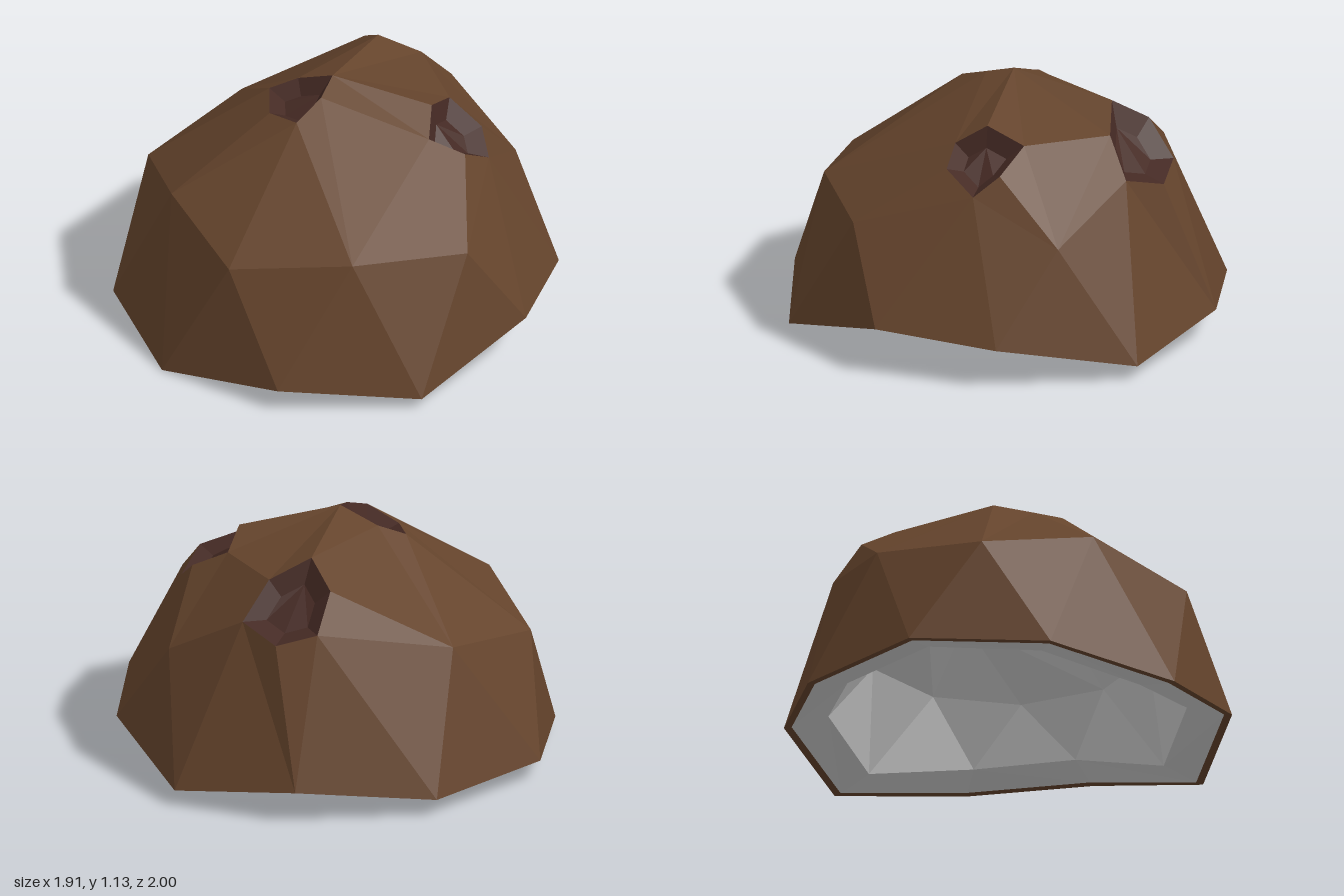
import * as THREE from 'three';

const P = (list) => list.map((p) => new THREE.Vector3(...p));
const UP = new THREE.Vector3(0, 1, 0);
const DOWN = new THREE.Vector3(0, -1, 0);

// Add a triangle, turned so that it faces the given direction
function tri(out, a, b, c, facing) {
  const n = b.clone().sub(a).cross(c.clone().sub(a));
  out.push(a, ...(n.dot(facing) < 0 ? [c, b] : [b, c]));
}

// Triangles from a hub point along a chain of points
function fan(out, hub, chain, facing) {
  for (let i = 0; i + 1 < chain.length; i++) tri(out, hub, chain[i], chain[i + 1], facing);
}

// Stitch two closed loops, each sorted by angle about the y axis
function zip(out, a, b, facing) {
  const angle = (loop, k) => {
    const p = loop[k % loop.length];
    let t = Math.atan2(p.z, p.x);
    if (t < -0.4) t += Math.PI * 2;
    return t + Math.PI * 2 * Math.floor(k / loop.length);
  };
  let i = 0, j = 0;
  while (i < a.length || j < b.length) {
    const p = a[i % a.length], q = b[j % b.length];
    if (j >= b.length || (i < a.length && angle(a, i + 1) <= angle(b, j + 1))) {
      tri(out, p, a[++i % a.length], q, facing);
    } else {
      tri(out, p, q, b[++j % b.length], facing);
    }
  }
}

function part(name, points, color, side = THREE.FrontSide) {
  const geometry = new THREE.BufferGeometry().setFromPoints(points);
  geometry.computeVertexNormals();
  const mesh = new THREE.Mesh(geometry, new THREE.MeshStandardMaterial({ color, flatShading: true, side }));
  mesh.name = name;
  return mesh;
}

const ringOf = (n, r, y) => Array.from({ length: n }, (_, k) => {
  const t = (k / n) * Math.PI * 2;
  return new THREE.Vector3(r * Math.cos(t), y, r * Math.sin(t));
});

export function createModel() {
  const group = new THREE.Group();
  group.name = 'halfNutShell';

  // Wavy broken edge
  const rim = P([
    [0.95, 0.07, -0.32], [0.89, 0.19, 0.31], [0.57, 0.22, 0.77], [0, 0.05, 1], [-0.6, 0.1, 0.8],
    [-0.96, 0, 0.3], [-0.96, 0.05, -0.33], [-0.6, 0.09, -0.84], [0.01, 0.08, -1], [0.6, 0.15, -0.78],
  ]);
  // Corners of the three dents
  const topEye = P([
    [-0.04, 1.13, -0.04], [-0.13, 1.09, 0.06], [-0.27, 1.03, 0.13],
    [-0.33, 0.99, -0.05], [-0.27, 1.01, -0.22], [-0.15, 1.06, -0.18],
  ]);
  const frontEye = P([
    [0.34, 1.03, 0.19], [0.47, 0.97, 0.06], [0.57, 0.88, 0.2],
    [0.56, 0.79, 0.32], [0.42, 0.88, 0.4], [0.28, 0.94, 0.32],
  ]);
  const backEye = P([
    [0.3, 1.07, -0.39], [0.48, 0.98, -0.33], [0.63, 0.82, -0.36],
    [0.57, 0.76, -0.55], [0.41, 0.81, -0.64], [0.3, 0.97, -0.56],
  ]);
  // Shoulder points between the rim and the crown
  const [s0, s1, s2, s3, s4, s5, s6] = P([
    [0.8, 0.6, 0], [0.29, 0.62, 0.79], [-0.24, 0.65, 0.77], [-0.72, 0.58, 0.5],
    [-0.8, 0.69, -0.02], [-0.72, 0.58, -0.54], [-0.2, 0.68, -0.77],
  ]);
  const [pole, t1, t2, t3, t4, t5] = topEye;
  const [f0, f1, f2, f3, f4, f5] = frontEye;
  const [b0, b1, b2, b3, b4, b5] = backEye;

  // Outer husk: side band, then crown facets around the dents
  const husk = [];
  zip(husk, rim, [s0, f3, s1, s2, s3, s4, s5, s6, b4, b3, b2], UP);
  const crown = [
    [s0, [f3, f2, f1, b1, b2]],
    [pole, [b0, b1, f1, f0, f5, t1]],
    [s1, [f3, f4, f5, s2]],
    [s2, [f5, t1, t2, s3]],
    [s4, [s3, t2, t3, s5]],
    [s5, [t3, t4, s6]],
    [s6, [t4, t5, b5, b4]],
    [t5, [pole, b0, b5]],
  ];
  crown.forEach(([hub, chain]) => fan(husk, hub, chain, UP));

  // Thin lip under the edge
  const scaled = (k, lift) => rim.map((p) => new THREE.Vector3(p.x * k, p.y + lift, p.z * k));
  const lip = scaled(0.965, 0.003);
  zip(husk, rim, lip, DOWN);
  group.add(part('husk', husk, 0x65442c));

  // Dents: sloping walls and a sunken floor
  const heart = new THREE.Vector3(0, 0.2, 0);
  Object.entries({ topEye, frontEye, backEye }).forEach(([name, loop]) => {
    const out = [];
    const centre = loop.reduce((s, p) => s.add(p), new THREE.Vector3()).divideScalar(loop.length);
    const axis = centre.clone().sub(heart).normalize();
    const floor = loop.map((p) => p.clone().lerp(centre, 0.45).addScaledVector(axis, -0.055));
    loop.forEach((p, i) => {
      const j = (i + 1) % loop.length;
      tri(out, p, loop[j], floor[j], axis);
      tri(out, p, floor[j], floor[i], axis);
    });
    fan(out, floor[0], floor.slice(1), axis);
    group.add(part(name, out, 0x452a24, THREE.DoubleSide));
  });

  // Flesh: cut band, sloping slightly up to the hollow
  const inner = scaled(0.8, 0.045);
  const band = [];
  zip(band, lip, inner, DOWN);
  group.add(part('fleshRim', band, 0xcccccc));

  // Faceted hollow
  const hollow = [];
  const low = ringOf(10, 0.64, 0.5);
  const high = ringOf(5, 0.36, 0.74);
  zip(hollow, inner, low, DOWN);
  zip(hollow, low, high, DOWN);
  fan(hollow, new THREE.Vector3(0, 0.86, 0), [...high, high[0]], DOWN);
  group.add(part('hollow', hollow, 0xcccccc));

  return group;
}
